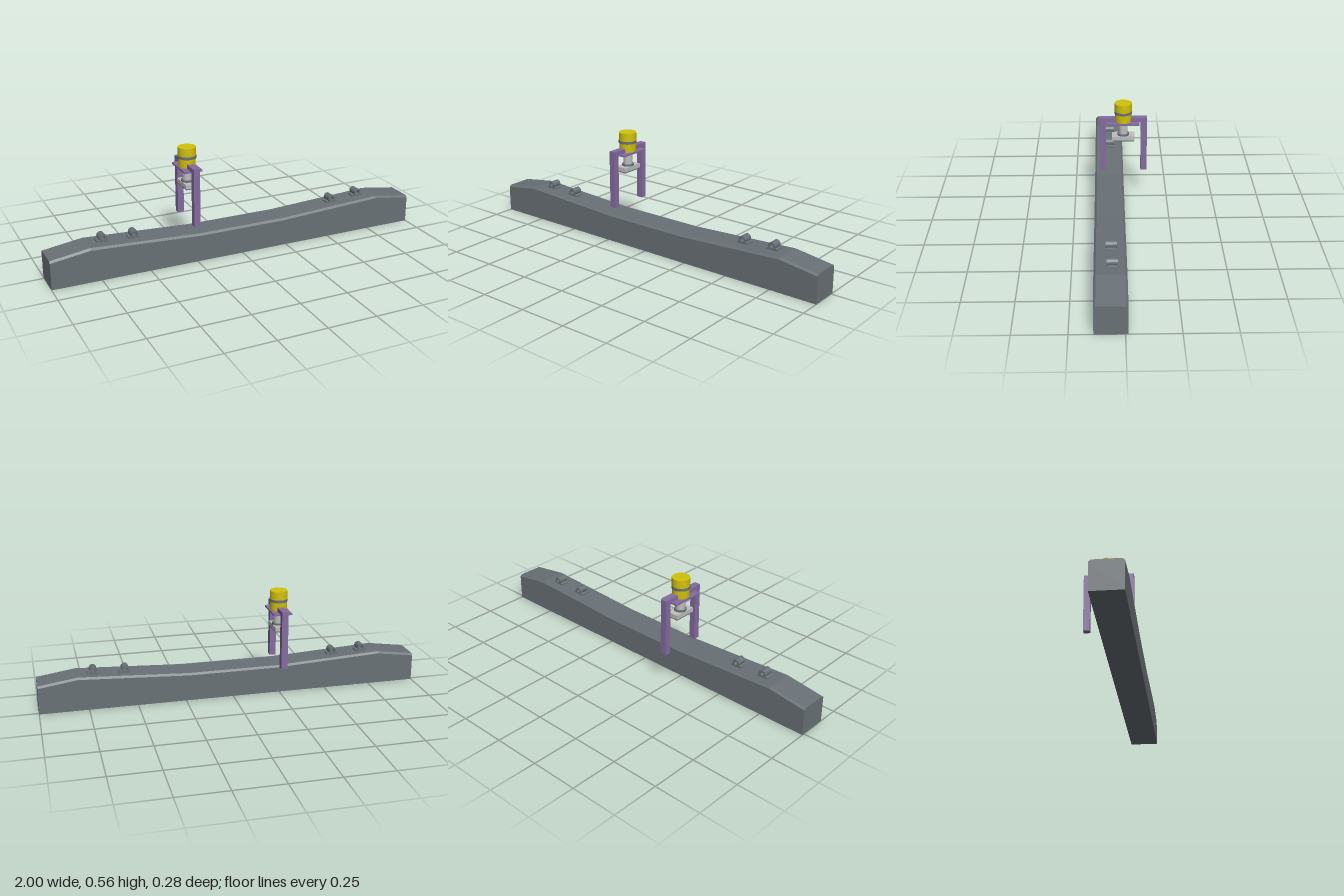
import * as THREE from 'three';

const mat = (name, color) => {
  const m = new THREE.MeshStandardMaterial({ color });
  m.name = name;
  return m;
};

export function createModel() {
  const concrete = mat('concrete gray', 0x697176);
  const purple = mat('frame purple', 0x846b9f);
  const yellow = mat('motor yellow', 0xd2c20c);
  const silver = mat('light gray', 0xbdbdbd);
  const root = new THREE.Group();

  const add = (parent, name, geo, material, x = 0, y = 0, z = 0) => {
    const m = new THREE.Mesh(geo, material);
    m.name = name;
    m.position.set(x, y, z);
    parent.add(m);
    return m;
  };
  // box and cylinder given by their y range
  const box = (p, name, material, w, z0, z1, y0, y1) =>
    add(p, name, new THREE.BoxGeometry(w, y1 - y0, z1 - z0), material, 0, (y0 + y1) / 2, (z0 + z1) / 2);
  const cyl = (p, name, material, rTop, rBottom, y0, y1, z) =>
    add(p, name, new THREE.CylinderGeometry(rTop, rBottom, y1 - y0, 32), material, 0, (y0 + y1) / 2, z);

  // Beam: chamfered cross-sections joined along x
  const stations = [[-1, 0.147], [-0.8, 0.176], [-0.23, 0.147], [0.23, 0.147], [0.8, 0.176], [1, 0.147]];
  const zBack = -0.013, zFront = 0.14, c = 0.01;
  const rings = stations.map(([x, h]) => [
    [x, 0, zFront], [x, h - c, zFront], [x, h, zFront - c],
    [x, h, zBack + c], [x, h - c, zBack], [x, 0, zBack],
  ]);
  const pos = [];
  const tri = (...pts) => pts.forEach((p) => pos.push(...p));
  for (let i = 0; i < rings.length - 1; i++) {
    for (let j = 0; j < 6; j++) {
      const k = (j + 1) % 6, a = rings[i], b = rings[i + 1];
      tri(a[j], b[j], b[k]);
      tri(a[j], b[k], a[k]);
    }
  }
  const first = rings[0], last = rings[rings.length - 1];
  for (let j = 1; j < 5; j++) {
    tri(first[0], first[j], first[j + 1]);
    tri(last[0], last[j + 1], last[j]);
  }
  const beamGeo = new THREE.BufferGeometry();
  beamGeo.setAttribute('position', new THREE.Float32BufferAttribute(pos, 3));
  beamGeo.computeVertexNormals();
  add(root, 'beam', beamGeo, concrete);

  // Hollow eyelets on low feet, tilted with the beam's slope
  const eye = new THREE.Shape();
  eye.absarc(0, 0.02, 0.019, 0, Math.PI * 2, false);
  const hole = new THREE.Path();
  hole.absarc(0, 0.02, 0.01, 0, Math.PI * 2, true);
  eye.holes.push(hole);
  const eyeGeo = new THREE.ExtrudeGeometry(eye, { depth: 0.052, bevelEnabled: false, curveSegments: 14 });
  eyeGeo.translate(0, 0, -0.026);
  const foot = new THREE.Shape([[-0.03, -0.003], [0.03, -0.003], [0.03, 0.006], [0.016, 0.01], [-0.016, 0.01], [-0.03, 0.006]]
    .map(([x, y]) => new THREE.Vector2(x, y)));
  const footGeo = new THREE.ExtrudeGeometry(foot, { depth: 0.046, bevelEnabled: false });
  footGeo.translate(0, 0, -0.023);
  for (const [x, z] of [[-0.72, 0.058], [-0.56, 0.06], [0.555, 0.058], [0.718, 0.054]]) {
    const slope = 0.029 / 0.57;
    const g = new THREE.Group();
    g.name = 'eyelet';
    g.position.set(x, 0.147 + (Math.abs(x) - 0.23) * slope, z);
    g.rotation.z = Math.sign(x) * Math.atan(slope);
    add(g, 'eyeletRing', eyeGeo, concrete);
    add(g, 'eyeletFoot', footGeo, concrete);
    root.add(g);
  }

  // Gantry frame straddling the beam
  const gantry = new THREE.Group();
  gantry.name = 'gantry';
  gantry.position.x = -0.238;
  root.add(gantry);
  box(gantry, 'frontLeg', purple, 0.033, 0.081, 0.113, 0.176, 0.48);
  box(gantry, 'backLeg', purple, 0.033, -0.138, -0.105, 0.176, 0.48);
  box(gantry, 'crossbar', purple, 0.033, -0.105, 0.081, 0.457, 0.48);
  box(gantry, 'mountPlate', purple, 0.096, -0.098, 0.073, 0.45, 0.459);

  // Motor with band, shaft and press head
  const zc = -0.0125;
  cyl(gantry, 'motorUpper', yellow, 0.0455, 0.0455, 0.51, 0.561, zc);
  cyl(gantry, 'motorLower', yellow, 0.0445, 0.0425, 0.459, 0.51, zc);
  cyl(gantry, 'motorBand', concrete, 0.0468, 0.0468, 0.504, 0.518, zc);
  cyl(gantry, 'shaft', silver, 0.0235, 0.0235, 0.388, 0.45, zc);
  cyl(gantry, 'collar', concrete, 0.031, 0.031, 0.38, 0.389, zc);
  box(gantry, 'pressHead', silver, 0.064, -0.072, 0.047, 0.358, 0.38);
  box(gantry, 'pressPad', concrete, 0.06, -0.07, 0.045, 0.352, 0.358);

  return root;
}
